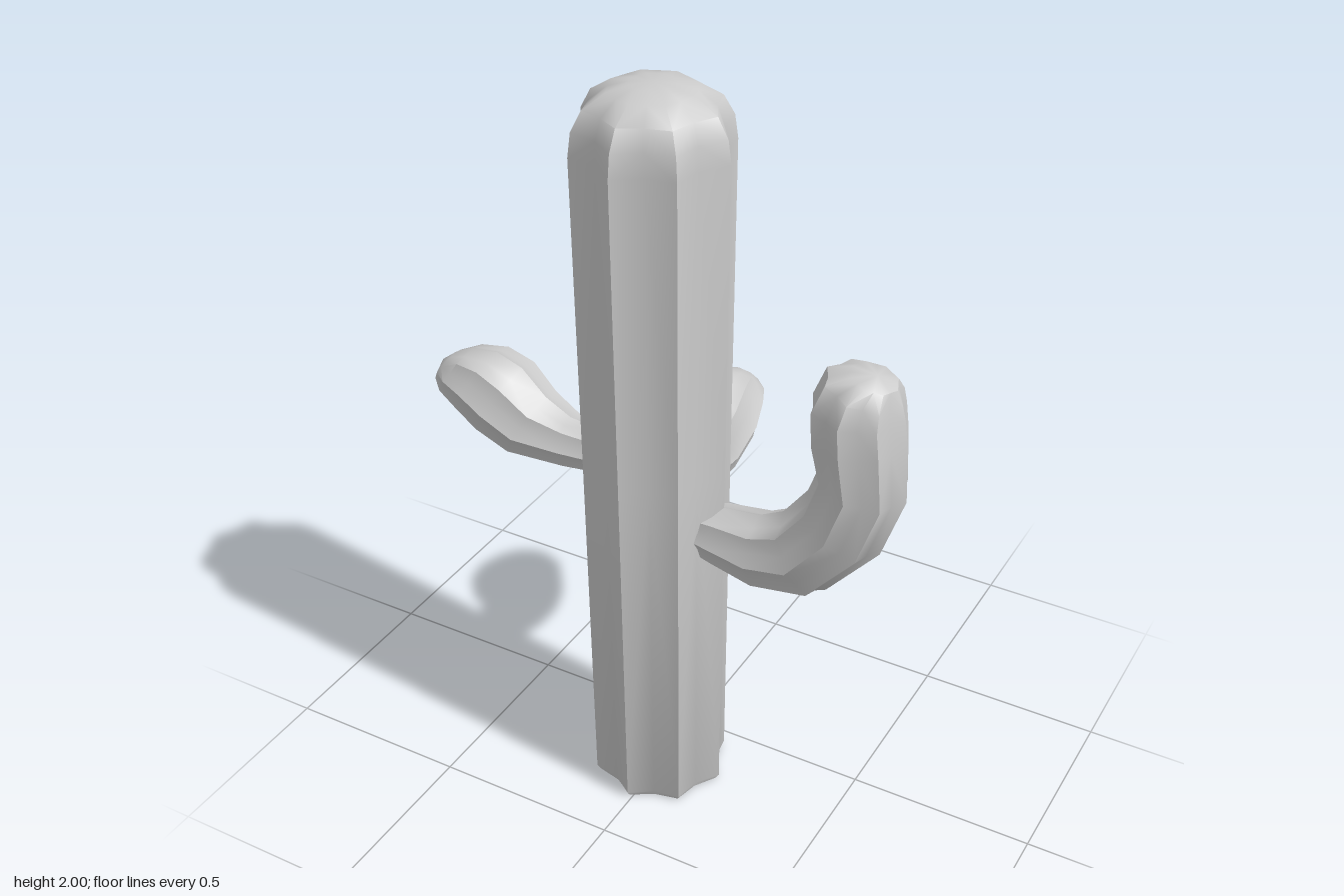
import * as THREE from 'three';
import { toCreasedNormals } from 'three/addons/utils/BufferGeometryUtils.js';

const RIBS = 8;
const material = new THREE.MeshStandardMaterial({ color: 0xcccccc });

// Ribbed stem lofted along a path in the xy plane.
// Each section: [x, y, ridge radius, heading in degrees, groove depth ratio]
function ribbedStem(name, sections) {
  const n = RIBS * 2;
  const positions = [];
  const index = [];
  for (const [x, y, r, heading, groove = 0.87] of sections) {
    const h = THREE.MathUtils.degToRad(heading);
    for (let j = 0; j < n; j++) {
      const a = (j / n) * Math.PI * 2;
      const radius = j % 2 ? r * groove : r;
      const u = Math.cos(a) * radius;
      positions.push(x - Math.sin(h) * u, y + Math.cos(h) * u, Math.sin(a) * radius);
    }
  }
  for (let i = 0; i < sections.length - 1; i++) {
    for (let j = 0; j < n; j++) {
      const k = (j + 1) % n;
      const a = i * n + j, b = i * n + k, c = a + n, d = b + n;
      // split every quad symmetrically about its ridge; skip collapsed ends
      const tris = j % 2 ? [[a, b, c], [b, d, c]] : [[a, b, d], [a, d, c]];
      if (sections[i][2] === 0) index.push(a, d, c);
      else if (sections[i + 1][2] === 0) index.push(a, b, c);
      else index.push(...tris.flat());
    }
  }
  const geometry = new THREE.BufferGeometry();
  geometry.setAttribute('position', new THREE.Float32BufferAttribute(positions, 3));
  geometry.setIndex(index);
  const mesh = new THREE.Mesh(toCreasedNormals(geometry, THREE.MathUtils.degToRad(42)), material);
  mesh.name = name;
  return mesh;
}

export function createModel() {
  const group = new THREE.Group();
  group.name = 'cactus';

  // Tall trunk, slightly wider at the top, with a domed crown
  const trunk = ribbedStem('trunk', [
    [0, 0, 0, 90, 0.84],
    [0, 0, 0.172, 90, 0.86],
    [0, 0.015, 0.182, 90, 0.84],
    [0, 1, 0.191, 90, 0.83],
    [0, 1.84, 0.2, 90, 0.82],
    [0, 1.9, 0.192, 90, 0.84],
    [0, 1.95, 0.165, 90, 0.88],
    [0, 1.985, 0.11, 90, 0.93],
    [0, 1.998, 0.055, 90, 0.97],
    [0, 2, 0, 90],
  ]);
  trunk.position.set(-0.01, 0, 0.18);

  // Long arm that curves up to vertical
  const leftArm = ribbedStem('leftArm', [
    [0.1, 0.83, 0, 0],
    [0.1, 0.83, 0.065, 0],
    [0.17, 0.83, 0.08, 0],
    [0.285, 0.825, 0.098, 5],
    [0.405, 0.86, 0.115, 32],
    [0.505, 0.98, 0.115, 58],
    [0.55, 1.11, 0.113, 80],
    [0.535, 1.23, 0.12, 94],
    [0.528, 1.31, 0.118, 88],
    [0.54, 1.37, 0.1, 75],
    [0.563, 1.4, 0.06, 75, 0.92],
    [0.57, 1.41, 0, 75],
  ]);
  leftArm.position.z = 0.18;

  // Short swollen arm
  const rightArm = ribbedStem('rightArm', [
    [0.1, 0.97, 0, 0],
    [0.1, 0.97, 0.055, 0],
    [0.17, 0.97, 0.06, 0],
    [0.265, 0.97, 0.07, 0],
    [0.385, 0.99, 0.1, 28],
    [0.465, 1.045, 0.115, 30],
    [0.535, 1.08, 0.105, 31],
    [0.6, 1.09, 0.082, 32],
    [0.64, 1.09, 0.05, 32, 0.92],
    [0.655, 1.1, 0, 32],
  ]);
  rightArm.rotation.y = Math.PI;
  rightArm.position.z = 0.18;

  // Bud-like arm at the back
  const backArm = ribbedStem('backArm', [
    [-0.02, 0.815, 0, 0],
    [-0.02, 0.815, 0.062, 0],
    [0.07, 0.82, 0.082, 12],
    [0.115, 0.85, 0.108, 33],
    [0.195, 0.905, 0.12, 36],
    [0.26, 0.943, 0.105, 36],
    [0.315, 0.95, 0.08, 36],
    [0.345, 0.955, 0.045, 36, 0.92],
    [0.357, 0.96, 0, 36],
  ]);
  backArm.rotation.y = Math.PI / 2;
  backArm.position.x = -0.045;

  group.add(trunk, leftArm, rightArm, backArm);
  return group;
}
